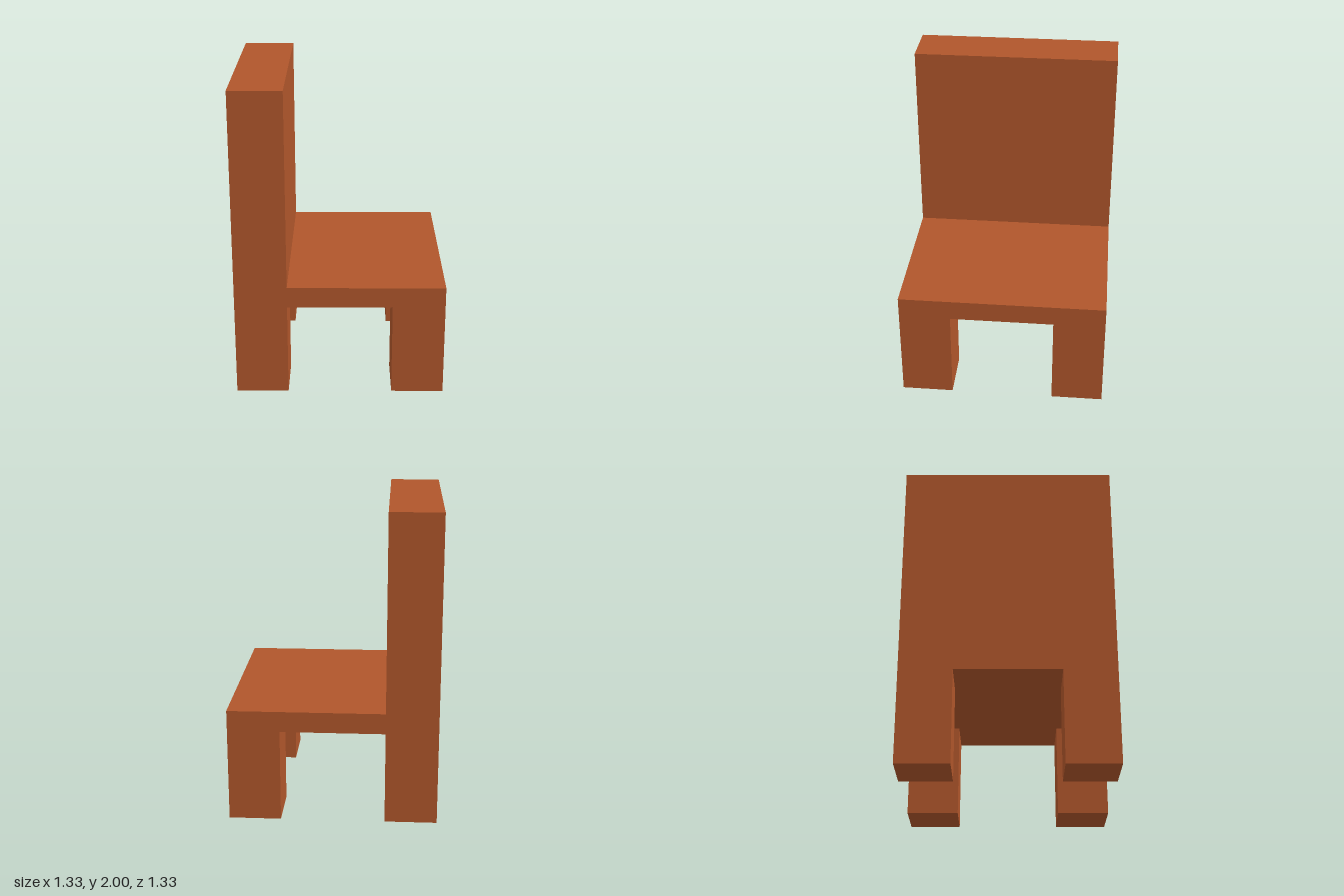
import * as THREE from 'three';

export function createModel() {
  const chair = new THREE.Group();
  chair.name = 'chair';
  const wood = new THREE.MeshStandardMaterial({ color: 0xb0562b });
  wood.name = 'reddish brown wood';

  const half = 2 / 3;      // half the width and depth
  const thick = 1 / 3;     // leg side and backrest thickness
  const legHeight = 0.6;
  const seatTop = 0.7333;

  // Box standing on y = bottom
  function addBox(name, width, height, depth, x, bottom, z) {
    const mesh = new THREE.Mesh(new THREE.BoxGeometry(width, height, depth), wood);
    mesh.name = name;
    mesh.position.set(x, bottom + height / 2, z);
    chair.add(mesh);
  }

  // Seat slab, running from the backrest to the +x edge
  addBox('seat', 2 * half - thick, seatTop - legHeight, 2 * half, thick / 2, legHeight, 0);

  // Backrest along the -x edge, resting on the two legs below it
  addBox('backrest', thick, 2 - legHeight, 2 * half, -half + thick / 2, legHeight, 0);

  // Four square legs flush with the corners
  const offset = half - thick / 2;
  for (const sx of [-1, 1]) {
    for (const sz of [-1, 1]) {
      const name = (sx < 0 ? 'backrest' : 'seat') + (sz < 0 ? 'RearLeg' : 'FrontLeg');
      addBox(name, thick, legHeight, thick, sx * offset, 0, sz * offset);
    }
  }

  return chair;
}
